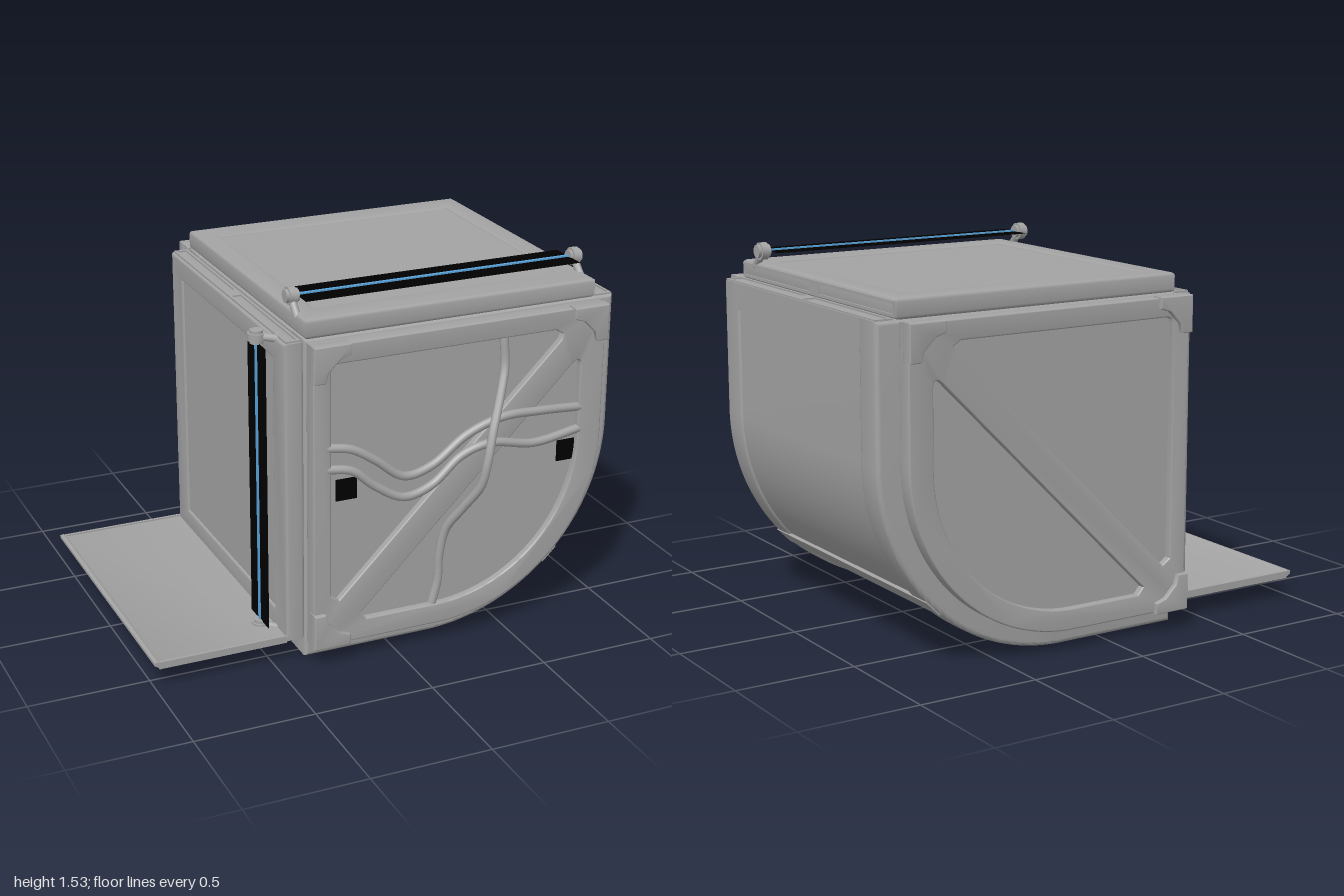
import * as THREE from 'three';
import { toCreasedNormals } from 'three/addons/utils/BufferGeometryUtils.js';

const grey = new THREE.MeshStandardMaterial({ color: 0xa3a3a3 });
grey.name = 'hull grey';
const black = new THREE.MeshStandardMaterial({ color: 0x000000, side: THREE.DoubleSide });
black.name = 'black';
const blue = new THREE.MeshStandardMaterial({ color: 0x5aa5dc });
blue.name = 'light blue';

const MID = -0.065; // z centre of the hull
const HALF = 0.635; // half its depth

function add(parent, name, geo, mat = grey) {
  const mesh = new THREE.Mesh(geo, mat);
  mesh.name = name;
  parent.add(mesh);
  return mesh;
}

// Outline extruded between two z values, keeping its size when bevelled
function slab(shape, za, zb, bevel = 0) {
  const z0 = Math.min(za, zb), depth = Math.abs(zb - za);
  const geo = new THREE.ExtrudeGeometry(shape, {
    depth: depth - 2 * bevel, curveSegments: 28, bevelEnabled: bevel > 0,
    bevelThickness: bevel, bevelSize: bevel, bevelOffset: -bevel, bevelSegments: 3,
  });
  geo.translate(0, 0, z0 + bevel);
  return toCreasedNormals(geo, 0.6);
}

function poly(points, Type = THREE.Shape) {
  return new Type(points.map(([x, y]) => new THREE.Vector2(x, y)));
}

function rect(x0, y0, x1, y1, Type = THREE.Shape) {
  return poly([[x0, y0], [x1, y0], [x1, y1], [x0, y1]], Type);
}

// Square outline whose lower +x corner is a large arc
function quarter(x0, y0, x1, y1, r) {
  const s = new THREE.Shape();
  s.moveTo(x0, y0);
  s.lineTo(x1 - r, y0);
  s.absarc(x1 - r, y0 + r, r, -Math.PI / 2, 0, false);
  s.lineTo(x1, y1);
  s.lineTo(x0, y1);
  s.closePath();
  return s;
}

function tube(points, radius, segments = 80) {
  const curve = new THREE.CatmullRomCurve3(points.map((p) => new THREE.Vector3(...p)));
  return new THREE.TubeGeometry(curve, segments, radius, 10);
}

function buildHull(root) {
  const hull = new THREE.Group();
  hull.name = 'hull';
  root.add(hull);
  add(hull, 'hullSkin', slab(quarter(-0.355, 0.008, 0.992, 1.355, 0.812), MID - 0.6, MID + 0.6));
  const outer = quarter(-0.36, 0, 1, 1.362, 0.82);
  for (const s of [-1, 1]) {
    add(hull, 'rimBand', slab(outer, MID + s * 0.503, MID + s * HALF, 0.018));
  }
  // Bands joining the two rims
  add(hull, 'topBand', slab(rect(0.9, 1.25, 1, 1.362), MID - 0.52, MID + 0.52));
  add(hull, 'bottomBand', slab(rect(-0.36, 0, -0.26, 0.1), MID - 0.52, MID + 0.52));
  const rib = add(hull, 'curveRib', new THREE.BoxGeometry(0.1, 0.085, 2 * HALF - 0.02));
  rib.position.set(0.18 + 0.773 * Math.SQRT1_2, 0.82 - 0.773 * Math.SQRT1_2, MID);
  rib.rotation.z = -Math.PI / 4;
  // Slotted strip beside the roof hatch
  const strip = rect(0.92, -0.625, 0.995, 0.625);
  strip.holes.push(rect(0.932, 0.035, 0.985, 0.612, THREE.Path), rect(0.932, -0.612, 0.985, -0.035, THREE.Path));
  const stripGeo = slab(strip, 0, 0.007);
  stripGeo.rotateX(-Math.PI / 2);
  add(hull, 'slottedStrip', stripGeo).position.set(0, 1.361, MID);
}

// Framed end wall, s = 1 at the front and -1 at the back
function buildEnd(root, s) {
  const end = new THREE.Group();
  end.name = s > 0 ? 'frontEnd' : 'backEnd';
  root.add(end);
  const at = (d) => MID + s * (HALF + d);
  add(end, 'neck', slab(quarter(-0.345, 0.1, 0.9, 1.345, 0.72), at(-0.03), at(0.03)));
  add(end, 'pane', slab(quarter(-0.32, 0.12, 0.875, 1.32, 0.695), at(0), at(0.06)));

  const frame = quarter(-0.36, 0.083, 0.915, 1.36, 0.735);
  const lower = new THREE.Path();
  lower.moveTo(-0.13, 0.17);
  lower.lineTo(0.18, 0.17);
  lower.absarc(0.18, 0.8, 0.63, -Math.PI / 2, 0, false);
  lower.lineTo(0.81, 1.11);
  lower.quadraticCurveTo(0.81, 1.16, 0.77, 1.125);
  lower.lineTo(-0.155, 0.2);
  lower.closePath();
  const upper = poly([[-0.285, 0.3], [-0.25, 0.275], [0.715, 1.235], [0.723, 1.26], [0.69, 1.28],
    [-0.255, 1.28], [-0.278, 1.272], [-0.285, 1.25]], THREE.Path);
  frame.holes.push(upper, lower);
  add(end, 'windowFrame', slab(frame, at(0.02), at(0.09), 0.006));

  // Brackets on the three square corners
  const corner = [[0, 0], [0.155, 0], [0.155, 0.045], [0.11, 0.06], [0.06, 0.11], [0.05, 0.15], [0, 0.15]];
  for (const [x, y, sx, sy] of [[-0.364, 1.364, 1, -1], [0.919, 1.364, -1, -1], [-0.364, 0.08, 1, 1]]) {
    const shape = poly(corner.map(([u, v]) => [x + sx * u, y + sy * v]));
    add(end, 'cornerBracket', slab(shape, at(0.055), at(0.11), 0.005));
  }
}

// Square hatch lying flat, with a light bar near one edge
function buildHatch(root, name) {
  const hatch = new THREE.Group();
  hatch.name = name;
  root.add(hatch);
  const ring = rect(-0.632, -HALF, 0.632, HALF);
  ring.holes.push(rect(-0.537, -0.507, 0.537, 0.507, THREE.Path));
  const ringGeo = slab(ring, 0, 0.08, 0.014);
  ringGeo.rotateX(-Math.PI / 2);
  add(hatch, 'hatchFrame', ringGeo);
  add(hatch, 'hatchPanel', new THREE.BoxGeometry(1.12, 0.07, 1.06)).position.y = 0.036;

  const edge = rect(-0.625, 0.01, 0.625, 0.07);
  edge.holes.push(rect(0.035, 0.021, 0.612, 0.059, THREE.Path), rect(-0.612, 0.021, -0.035, 0.059, THREE.Path));
  const edgeGeo = slab(edge, 0, 0.008);
  edgeGeo.rotateY(Math.PI / 2);
  add(hatch, 'slottedEdge', edgeGeo).position.x = 0.631;

  // Light bar, its dark backing and the two end mounts
  const y = 0.13, z = 0.475;
  const backing = add(hatch, 'barBacking', new THREE.PlaneGeometry(1.2, 0.19), black);
  backing.rotation.x = -Math.PI / 2;
  backing.position.set(0, y, z);
  add(hatch, 'lightBar', new THREE.BoxGeometry(1.22, 0.013, 0.013), blue).position.set(0, y, z);
  for (const s of [-1, 1]) {
    const x = s * 0.623;
    for (const [r, w] of [[0.036, 0.03], [0.027, 0.054]]) {
      const knobGeo = toCreasedNormals(new THREE.CylinderGeometry(r, r, w, 16), 0.6);
      knobGeo.rotateZ(Math.PI / 2);
      add(hatch, 'barMount', knobGeo).position.set(x, y, z);
    }
    add(hatch, 'mountStem', tube([[x, y, z], [x, 0.1, 0.5], [x, 0.06, 0.54]], 0.016, 6));
  }
  return hatch;
}

function buildPipes(root) {
  const paths = {
    upperPipe: [[-0.3, 0.935, 0.645], [-0.2, 0.92, 0.66], [-0.1, 0.86, 0.67], [0.02, 0.775, 0.675], [0.14, 0.795, 0.67],
      [0.3, 0.9, 0.665], [0.45, 0.955, 0.675], [0.62, 0.95, 0.665], [0.82, 0.93, 0.645]],
    lowerPipe: [[-0.3, 0.845, 0.645], [-0.2, 0.83, 0.66], [-0.1, 0.75, 0.67], [0.02, 0.685, 0.675], [0.14, 0.71, 0.67],
      [0.28, 0.815, 0.665], [0.4, 0.852, 0.675], [0.6, 0.815, 0.665], [0.82, 0.835, 0.645]],
    crossingPipe: [[0.465, 1.28, 0.64], [0.465, 1.16, 0.655], [0.42, 1.05, 0.705], [0.365, 0.94, 0.76],
      [0.33, 0.82, 0.787], [0.31, 0.72, 0.775], [0.265, 0.61, 0.715], [0.22, 0.5, 0.655],
      [0.2, 0.38, 0.64], [0.195, 0.27, 0.64], [0.17, 0.17, 0.64]],
  };
  for (const [name, points] of Object.entries(paths)) add(root, name, tube(points, 0.018));
}

export function createModel() {
  const root = new THREE.Group();
  root.name = 'cornerCapsule';
  buildHull(root);
  buildEnd(root, 1);
  buildEnd(root, -1);

  buildHatch(root, 'roofHatch').position.set(0.278, 1.36, MID);
  const side = buildHatch(root, 'sideHatch');
  side.position.set(-0.36, 0.722, MID);
  side.rotation.z = Math.PI / 2;

  // Folded-down ramp with a bevelled lip
  const ramp = poly([[-0.98, 0.088], [-0.4, 0.088], [-0.4, 0.106], [-0.97, 0.106], [-0.985, 0.114], [-1, 0.112], [-1, 0.1]]);
  add(root, 'ramp', slab(ramp, MID - HALF, MID + HALF));
  for (const s of [-1, 1]) {
    add(root, 'rampRail', new THREE.BoxGeometry(0.54, 0.03, 0.012)).position.set(-0.71, 0.097, MID + s * 0.629);
  }

  buildPipes(root);
  // Dark square vents set on the front pane
  for (const x of [-0.21, 0.775]) {
    add(root, 'vent', new THREE.BoxGeometry(0.09, 0.09, 0.006), black).position.set(x, 0.743, 0.633);
  }
  return root;
}
